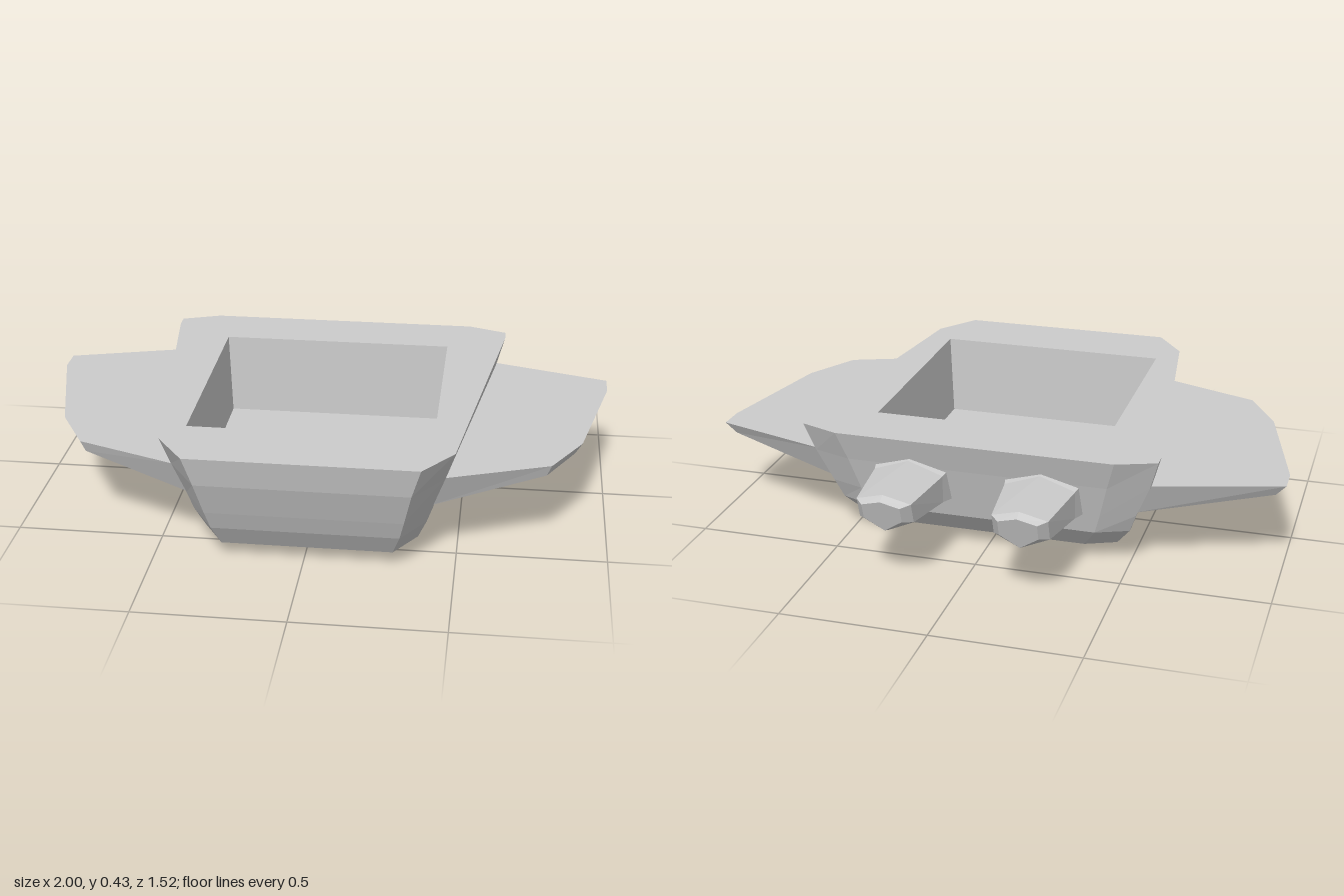
import * as THREE from 'three';

const CX = 0.01; // the body sits slightly towards +x
const material = new THREE.MeshStandardMaterial({
  color: 0xcccccc, flatShading: true, side: THREE.DoubleSide,
});

// Skin a list of equal-length rings, each counter-clockwise about the loft direction.
function loft(rings, { start = true, end = true, inward = false } = {}) {
  const pos = [];
  const tri = (a, b, c) => pos.push(...a, ...(inward ? c : b), ...(inward ? b : c));
  const n = rings[0].length;
  for (let r = 0; r < rings.length - 1; r++) {
    const a = rings[r], b = rings[r + 1];
    for (let i = 0; i < n; i++) {
      const j = (i + 1) % n;
      tri(a[i], a[j], b[j]);
      tri(a[i], b[j], b[i]);
    }
  }
  const first = rings[0], last = rings[rings.length - 1];
  for (let i = 1; i < n - 1; i++) {
    if (start) tri(first[0], first[i + 1], first[i]);
    if (end) tri(last[0], last[i], last[i + 1]);
  }
  const g = new THREE.BufferGeometry();
  g.setAttribute('position', new THREE.Float32BufferAttribute(pos, 3));
  g.computeVertexNormals();
  return g;
}

function part(name, geometry) {
  const mesh = new THREE.Mesh(geometry, material);
  mesh.name = name;
  return mesh;
}

// Mirror an [x, z] half outline (front to back) into a full ring at height y.
function hullRing([y, fx, fz, sx, sz, wx, wz, bz2, bx, bz]) {
  const half = [[fx, fz], [sx, sz], [wx, wz], [wx, bz2], [bx, bz]];
  const right = half.map(([x, z]) => [x + CX, y, z]);
  const left = half.map(([x, z]) => [CX - x, y, z]).reverse();
  return [...right, ...left];
}

const rectRing = (y, x0, x1, z0, z1) =>
  [[x0, y, z1], [x1, y, z1], [x1, y, z0], [x0, y, z0]];

function hull() {
  const group = new THREE.Group();
  group.name = 'hull';
  // y, front corner x z, front side x z, wide side x z, rear side z, rear corner x z
  const rings = [
    [0.00, 0.27, 0.49, 0.31, 0.45, 0.345, -0.17, -0.19, 0.27, -0.23],
    [0.05, 0.285, 0.61, 0.36, 0.49, 0.455, -0.28, -0.30, 0.35, -0.345],
    [0.13, 0.31, 0.66, 0.39, 0.53, 0.51, -0.335, -0.365, 0.40, -0.41],
    [0.20, 0.325, 0.69, 0.41, 0.55, 0.535, -0.365, -0.39, 0.42, -0.43],
    [0.32, 0.35, 0.735, 0.45, 0.585, 0.585, -0.385, -0.42, 0.45, -0.465],
    [0.425, 0.38, 0.76, 0.48, 0.62, 0.615, -0.40, -0.45, 0.48, -0.50],
  ].map(hullRing);
  group.add(part('hullShell', loft(rings, { end: false })));

  // open hold sunk into the deck
  const mouth = rectRing(0.425, -0.40, 0.415, -0.285, 0.515);
  const floor = rectRing(0.135, -0.388, 0.402, -0.28, 0.51);
  group.add(part('hold', loft([floor, mouth], { end: false, inward: true })));

  // flat rim around the hold
  const flat = (ring) => ring.map(([x, , z]) => new THREE.Vector2(x, -z));
  const shape = new THREE.Shape(flat(rings[rings.length - 1]));
  shape.holes.push(new THREE.Path(flat(mouth)));
  const deck = new THREE.ShapeGeometry(shape);
  deck.rotateX(-Math.PI / 2).translate(0, 0.425, 0);
  group.add(part('deck', deck));
  return group;
}

// Flat-topped wing, thick at the root and thin at the tip; side is +1 or -1.
function wing(side) {
  const tip = 1 - side * CX;
  const lower = [
    [0.40, 0.20, 0.55], [0.775, 0.28, 0.445], [0.87, 0.28, 0.265],
    [tip - 0.035, 0.28, -0.18], [tip - 0.035, 0.28, -0.27], [0.52, 0.20, -0.37],
  ];
  const upper = [
    [0.44, 0.32, 0.588], [0.79, 0.32, 0.455], [0.893, 0.32, 0.27],
    [tip, 0.32, -0.19], [tip, 0.32, -0.283], [0.57, 0.32, -0.41],
  ];
  const place = (ring) => {
    const r = ring.map(([x, y, z]) => [side * x + CX, y, z]);
    return side > 0 ? r : r.reverse();
  };
  return part(side > 0 ? 'leftWing' : 'rightWing', loft([place(lower), place(upper)]));
}

// Tapered six-sided thruster with a ridge on top and a raked, bevelled end.
function thruster(side) {
  const cx = side * 0.228 + CX - 0.002;
  // z, half width, ridge y, upper side y, lower side y, keel y
  const rings = [
    [-0.36, 0.15, 0.38, 0.33, 0.19, 0.12],
    [-0.485, 0.12, 0.347, 0.305, 0.21, 0.155],
    [-0.71, 0.093, 0.332, 0.305, 0.232, 0.185],
    [-0.7425, 0.065, 0.318, 0.30, 0.245, 0.20],
  ].map(([z, w, top, up, low, keel], i) => {
    const rake = i > 1 ? 0.33 : 0;
    return [[0, top], [w, up], [w, low], [0, keel], [-w, low], [-w, up]]
      .map(([x, y]) => [cx + x, y, z - (y - 0.26) * rake]);
  });
  return part(side > 0 ? 'leftThruster' : 'rightThruster', loft(rings));
}

export function createModel() {
  const model = new THREE.Group();
  model.name = 'hoverCraft';
  model.add(hull());
  for (const side of [1, -1]) model.add(wing(side), thruster(side));
  return model;
}
